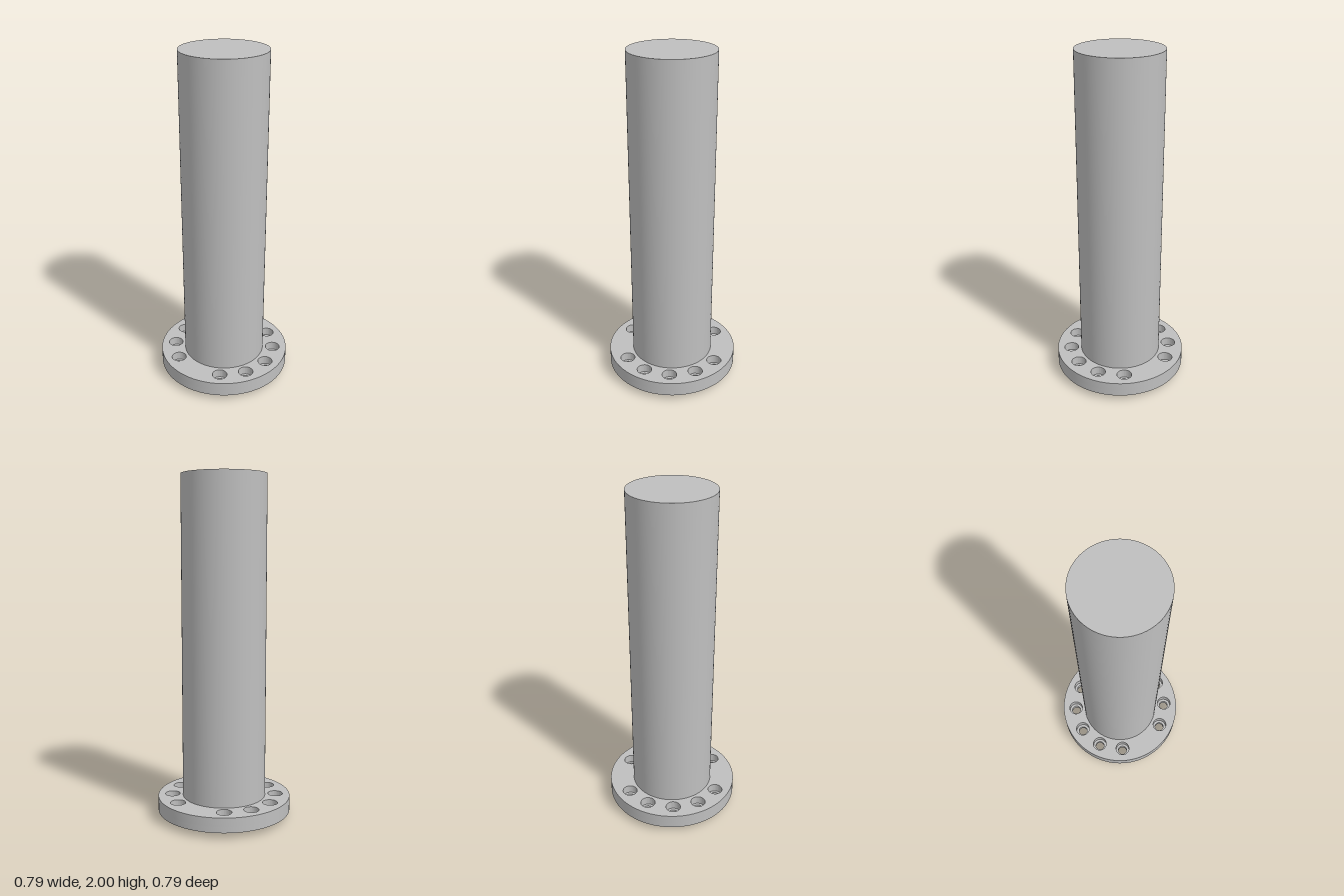
import * as THREE from 'three';
import { toCreasedNormals } from 'three/addons/utils/BufferGeometryUtils.js';

const CREASE = Math.PI / 6;
const PITCH_RADIUS = 0.308;

// Horizontal ring with bolt holes, from height y0 to y1
function flangeLayer(y0, y1, holeRadius, angles) {
  const shape = new THREE.Shape().absarc(0, 0, 0.393, 0, Math.PI * 2, false);
  const cut = (x, y, r) => shape.holes.push(new THREE.Path().absarc(x, y, r, 0, Math.PI * 2, true));
  cut(0, 0, 0.18);
  for (const a of angles) cut(PITCH_RADIUS * Math.cos(a), PITCH_RADIUS * Math.sin(a), holeRadius);
  const geometry = new THREE.ExtrudeGeometry(shape, { depth: y1 - y0, bevelEnabled: false, curveSegments: 48 });
  geometry.rotateX(-Math.PI / 2).translate(0, y0, 0);
  return toCreasedNormals(geometry, CREASE);
}

export function createModel() {
  const group = new THREE.Group();
  group.name = 'flangedShaft';
  const steel = new THREE.MeshStandardMaterial({ color: 0xbfbfbf });
  steel.name = 'grey steel';

  const add = (name, geometry) => {
    const mesh = new THREE.Mesh(geometry, steel);
    mesh.name = name;
    group.add(mesh);
  };

  // Closed shaft with locating boss and a deep bore opening at the bottom
  const profile = [
    [0, 1.9], [0.122, 1.9], [0.122, 0], [0.195, 0], [0.195, 0.06],
    [0.246, 0.06], [0.246, 2], [0, 2],
  ].map(([r, y]) => new THREE.Vector2(r, y));
  add('shaft', toCreasedNormals(new THREE.LatheGeometry(profile, 96), CREASE));

  // Twelve holes below; ten of them open into counterbores above
  const all = Array.from({ length: 12 }, (_, i) => (i * Math.PI) / 6);
  const open = all.filter((_, i) => i % 6 !== 3);
  add('flangeBase', flangeLayer(0.035, 0.07, 0.028, all));
  add('flangeTop', flangeLayer(0.07, 0.122, 0.044, open));

  return group;
}
